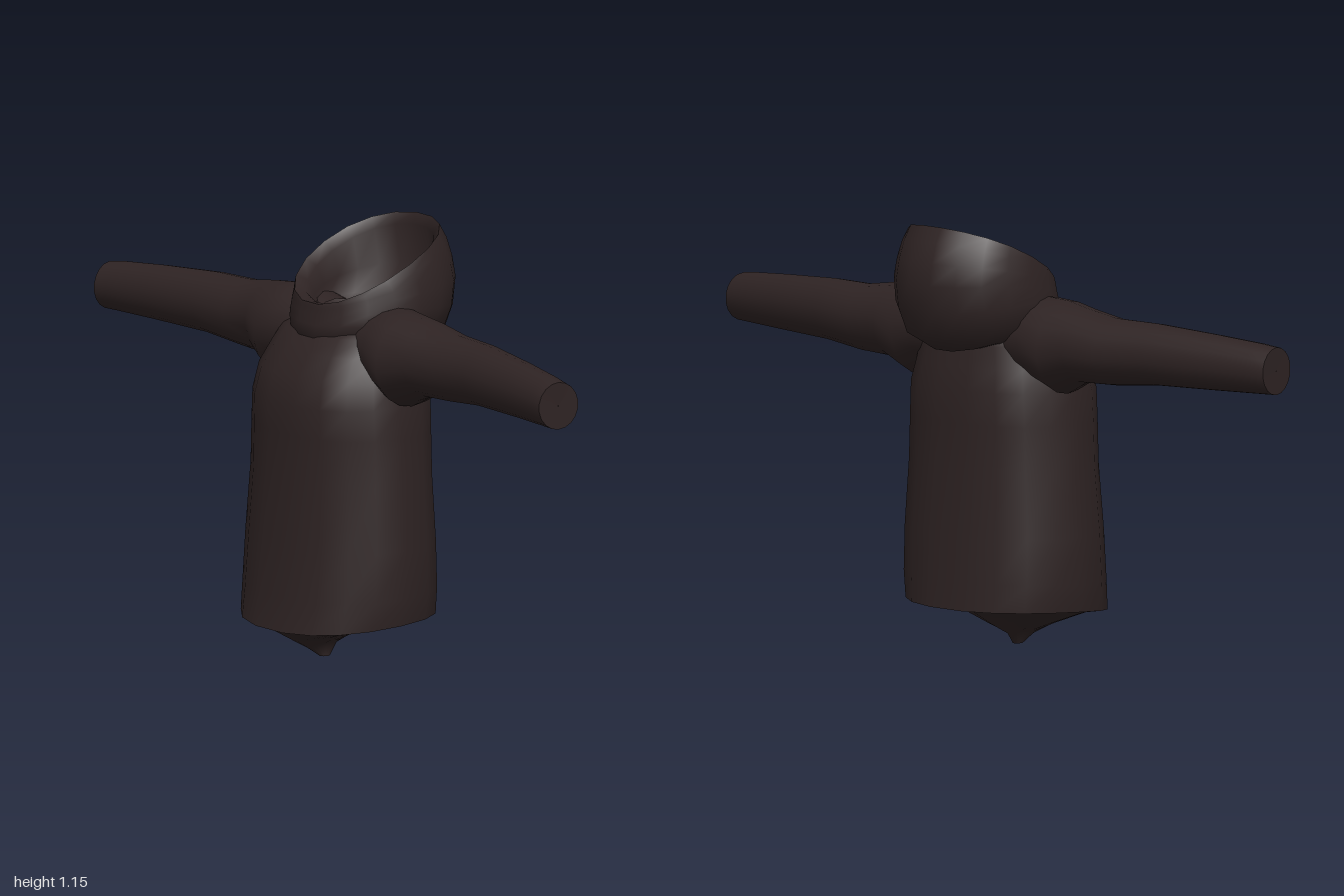
import * as THREE from 'three';

const SEG = 18;

// Skin a list of closed rings (arrays of Vector3) with smooth normals
function loft(name, rings, material) {
  const n = rings[0].length, idx = [];
  for (let i = 0; i < rings.length - 1; i++) {
    for (let j = 0; j < n; j++) {
      const a = i * n + j, c = i * n + (j + 1) % n;
      idx.push(a, a + n, c, a + n, c + n, c);
    }
  }
  const geo = new THREE.BufferGeometry().setFromPoints(rings.flat());
  geo.setIndex(idx);
  geo.computeVertexNormals();
  const mesh = new THREE.Mesh(geo, material);
  mesh.name = name;
  return mesh;
}

// Ring spanning a front point (zf, yf) and a back point (zb, yb), half width w.
// power < 1 squares the outline, bow lifts the sides, cx shifts sideways.
function ring(zf, yf, zb, yb, w, power = 1, bow = 0, cx = 0) {
  const soft = v => Math.sign(v) * Math.abs(v) ** power;
  return Array.from({ length: SEG }, (_, j) => {
    const t = j / SEG * Math.PI * 2, s = soft(Math.sin(t)), c = soft(Math.cos(t));
    return new THREE.Vector3(
      cx + w * c,
      (yf + yb) / 2 + (yf - yb) / 2 * s + bow * c * c,
      (zf + zb) / 2 + (zf - zb) / 2 * s);
  });
}

// Upright ring of a sleeve; side is +1 for left and -1 for right
function sleeveRing(side, [x, y, ry, z, rz], slant = 0) {
  return Array.from({ length: SEG }, (_, j) => {
    const t = j / SEG * Math.PI * 2, dz = -side * rz * Math.sin(t);
    return new THREE.Vector3(side * (x - slant * (dz + rz)), y + ry * Math.cos(t), z + dz);
  });
}

export function createModel() {
  const group = new THREE.Group();
  const cloth = new THREE.MeshStandardMaterial({ color: 0x2e2323, side: THREE.DoubleSide });
  cloth.name = 'dark brown cloth';

  // Body, from the hem up to the neck
  const hem = ring(0.285, 0.09, -0.18, 0.12, 0.28, 0.88, 0.012);
  const body = [
    hem,
    ring(0.27, 0.18, -0.176, 0.2, 0.29, 0.88),
    ring(0.258, 0.32, -0.17, 0.32, 0.289, 0.88),
    ring(0.247, 0.5, -0.163, 0.5, 0.274, 0.88),
    ring(0.246, 0.62, -0.162, 0.62, 0.27, 0.88),
    ring(0.247, 0.7, -0.164, 0.71, 0.264, 0.88),
    ring(0.23, 0.775, -0.15, 0.77, 0.25, 0.9),
    ring(0.19, 0.835, -0.142, 0.83, 0.23, 0.9),
    ring(0.155, 0.88, -0.13, 0.87, 0.215, 0.9),
    ring(0.11, 0.91, -0.1, 0.9, 0.19),
  ];
  group.add(loft('body', body, cloth));

  // Gathered lining closing the hem, drooping to a point
  group.add(loft('hemLining', [
    ring(0.12, 0, 0.09, 0, 0.012, 1, 0, 0.01),
    ring(0.15, 0.022, 0.06, 0.03, 0.022, 1, 0.01, 0),
    ring(0.2, 0.052, 0.0, 0.06, 0.08, 1, 0.005, -0.01),
    ring(0.25, 0.082, -0.07, 0.115, 0.2, 0.9, 0.005),
    hem,
  ], cloth));

  // Sleeves with closed cuffs: [x, y, half height, z, half depth]
  const profile = [
    [0.08, 0.85, 0.09, 0.0, 0.1],
    [0.2, 0.85, 0.112, 0.005, 0.12],
    [0.27, 0.832, 0.125, 0.01, 0.122],
    [0.35, 0.846, 0.1, 0.0, 0.101],
    [0.46, 0.84, 0.09, 0.0, 0.088],
    [0.6, 0.846, 0.083, 0.012, 0.077],
    [0.8, 0.842, 0.075, 0.036, 0.066],
    [0.94, 0.838, 0.068, 0.056, 0.062],
  ];
  const end = [1, 0.835, 0.064, 0.065, 0.06];
  for (const side of [1, -1]) {
    const label = side > 0 ? 'left' : 'right';
    const cuff = sleeveRing(side, end, 0.12);
    group.add(loft(label + 'Sleeve', [...profile.map(p => sleeveRing(side, p)), cuff], cloth));
    const center = sleeveRing(side, [0.992, 0.835, 0.001, 0.065, 0.001]);
    group.add(loft(label + 'CuffEnd', [cuff, center], cloth));
  }

  // Hood: outer shell up to the slanted rim
  const rim = ring(0.148, 0.96, -0.235, 1.155, 0.19, 0.95, 0.015);
  group.add(loft('hoodShell', [
    ring(0.14, 0.85, -0.1, 0.82, 0.14),
    ring(0.163, 0.872, -0.19, 0.815, 0.185, 1, 0.03),
    ring(0.158, 0.905, -0.24, 0.845, 0.21, 0.95, 0.03),
    ring(0.153, 0.932, -0.272, 0.92, 0.215, 0.95, 0.025),
    ring(0.151, 0.948, -0.284, 1.0, 0.21, 0.95, 0.02),
    ring(0.15, 0.955, -0.274, 1.06, 0.205, 0.95, 0.018),
    ring(0.149, 0.958, -0.257, 1.115, 0.198, 0.95, 0.016),
    rim,
  ], cloth));

  // Hood inside, falling to the neck opening
  group.add(loft('hoodLining', [
    rim,
    ring(0.115, 0.955, -0.222, 1.125, 0.165, 0.95, 0.01),
    ring(0.095, 0.94, -0.235, 1.02, 0.16),
    ring(0.085, 0.925, -0.19, 0.94, 0.14),
    ring(0.07, 0.91, -0.1, 0.92, 0.09),
    ring(0.05, 0.87, -0.06, 0.87, 0.07),
    ring(0.01, 0.85, -0.01, 0.85, 0.005),
  ], cloth));

  return group;
}
